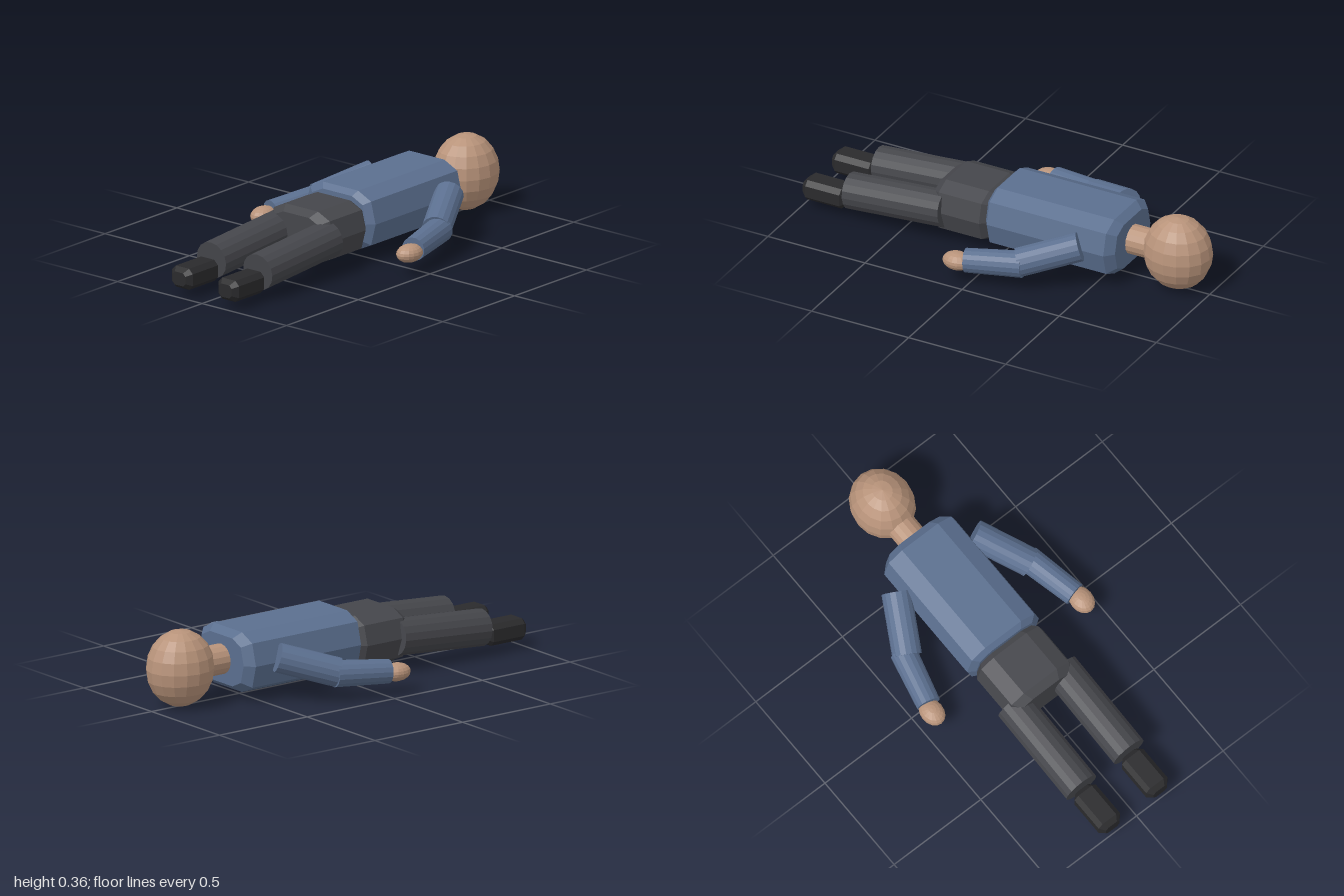
import * as THREE from 'three';

const mat = (color) => new THREE.MeshStandardMaterial({ color, flatShading: true });

export function createModel() {
  const group = new THREE.Group();
  const skin = mat(0xb8937a), shirt = mat(0x5b6f8f), trousers = mat(0x45464b), shoe = mat(0x2a2a2c);

  function add(name, geometry, material, x = 0, y = 0, z = 0) {
    const mesh = new THREE.Mesh(geometry, material);
    mesh.name = name;
    mesh.position.set(x, y, z);
    group.add(mesh);
    return mesh;
  }

  // Closed block lofted along x through one cross-section; rings are [x, scale]
  function loft(section, rings) {
    const n = section.length, pos = [], idx = [];
    for (const [x, s] of rings) for (const [z, y] of section) pos.push(x, y * s, z * s);
    for (let r = 0; r < rings.length - 1; r++) {
      for (let i = 0; i < n; i++) {
        const a = r * n + i, b = r * n + (i + 1) % n;
        idx.push(a, b, a + n, b, b + n, a + n);
      }
    }
    const last = (rings.length - 1) * n;
    for (let i = 1; i < n - 1; i++) idx.push(0, i + 1, i, last, last + i, last + i + 1);
    const g = new THREE.BufferGeometry();
    g.setAttribute('position', new THREE.Float32BufferAttribute(pos, 3));
    g.setIndex(idx);
    g.computeVertexNormals();
    return g;
  }

  // Ten-sided body section with flat top and bottom, half width w and half height h
  const section = (w, h) => [
    [w, 0], [w * 0.87, -h * 0.74], [w * 0.5, -h], [-w * 0.5, -h], [-w * 0.87, -h * 0.74],
    [-w, 0], [-w * 0.87, h * 0.74], [-w * 0.5, h], [w * 0.5, h], [w * 0.87, h * 0.74],
  ];

  // Straight limb between two points
  function limb(name, from, to, rFrom, rTo, material) {
    const a = new THREE.Vector3(...from), b = new THREE.Vector3(...to);
    const dir = b.clone().sub(a);
    const mesh = add(name, new THREE.CylinderGeometry(rTo, rFrom, dir.length(), 16), material);
    mesh.position.copy(a).add(b).multiplyScalar(0.5);
    mesh.quaternion.setFromUnitVectors(new THREE.Vector3(0, 1, 0), dir.normalize());
  }

  function ellipsoid(name, rx, ry, rz, x, y, z) {
    add(name, new THREE.SphereGeometry(1, 16, 10).scale(rx, ry, rz), skin, x, y, z);
  }

  // Head, neck and trunk
  ellipsoid('head', 0.163, 0.178, 0.145, 0.837, 0.178, 0);
  limb('neck', [0.56, 0.18, 0], [0.73, 0.18, 0], 0.07, 0.07, skin);
  add('torso', loft(section(0.207, 0.14), [[-0.058, 0.83], [-0.035, 1], [0.565, 1], [0.603, 0.8]]), shirt, 0, 0.18, 0);
  add('pelvis', loft(section(0.19, 0.123), [[-0.345, 0.8], [-0.305, 1], [-0.085, 1], [-0.05, 0.85]]), trousers, 0, 0.162, 0);

  // Mirrored limbs
  for (const s of [1, -1]) {
    const side = s > 0 ? 'front' : 'back';
    limb(side + 'UpperArm', [0.455, 0.21, s * 0.225], [0.213, 0.128, s * 0.356], 0.068, 0.068, shirt);
    limb(side + 'Forearm', [0.235, 0.126, s * 0.36], [-0.025, 0.107, s * 0.422], 0.062, 0.056, shirt);
    ellipsoid(side + 'Hand', 0.07, 0.042, 0.054, -0.063, 0.1, s * 0.432);
    limb(side + 'Leg', [-0.28, 0.16, s * 0.137], [-0.773, 0.122, s * 0.137], 0.086, 0.086, trousers);
    // Boxy foot with chamfered edges
    const w = 0.061, h = 0.05, c = 0.022;
    const foot = [
      [w, h - c], [w, c - h], [w - c, -h], [c - w, -h],
      [-w, c - h], [-w, h - c], [c - w, h], [w - c, h],
    ];
    add(side + 'Foot', loft(foot, [[-1, 0.62], [-0.975, 1], [-0.8, 1], [-0.777, 0.65]]), shoe, 0, 0.088, s * 0.137);
  }
  return group;
}
